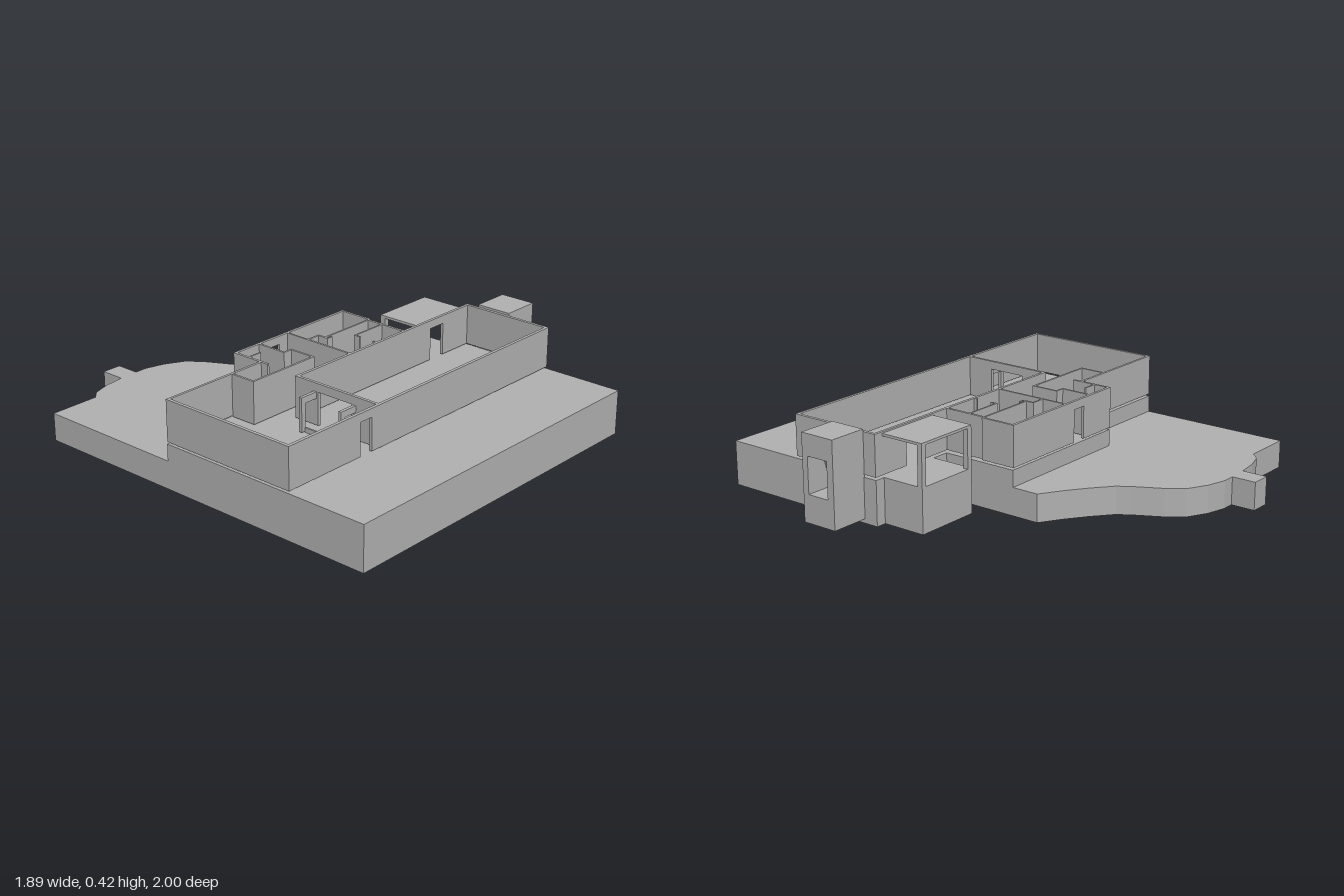
import * as THREE from 'three';

export function createModel() {
  const model = new THREE.Group();
  model.name = 'housePlan';
  const stone = new THREE.MeshStandardMaterial({ color: 0xb0b0b0 });
  stone.name = 'plainGrey';

  const add = (name, geometry, parent = model) => {
    const mesh = new THREE.Mesh(geometry, stone);
    mesh.name = name;
    parent.add(mesh);
    return mesh;
  };
  // Box given by its limits on each axis
  const box = (name, x0, x1, y0, y1, z0, z1, parent) =>
    add(name, new THREE.BoxGeometry(x1 - x0, y1 - y0, z1 - z0)
      .translate((x0 + x1) / 2, (y0 + y1) / 2, (z0 + z1) / 2), parent);
  // Level slab from a plan outline of [x, z] points
  const slab = (name, outline, height) => {
    const shape = new THREE.Shape(outline.map(([x, z]) => new THREE.Vector2(x, -z)));
    const g = new THREE.ExtrudeGeometry(shape, { depth: height, bevelEnabled: false });
    return add(name, g.rotateX(-Math.PI / 2));
  };

  // Raised ground under the house
  slab('upperTerrace', [
    [-0.95, 1], [0.76, 1], [0.76, 0.15], [0.305, 0.15], [0.305, -0.22],
    [-0.405, -0.22], [-0.405, -0.07], [-0.95, -0.07],
  ], 0.208);

  // Lower garden with a curved edge
  slab('lowerTerrace', [
    [-0.95, -0.07], [-0.405, -0.07], [-0.405, -0.22], [0.305, -0.22],
    [0.305, -0.35], [0.2, -0.415], [0.11, -0.48], [0.02, -0.555],
    [-0.02, -0.615], [-0.085, -0.735], [-0.14, -0.81], [-0.235, -0.86],
    [-0.33, -0.885], [-0.39, -0.885], [-0.39, -1], [-0.485, -1],
    [-0.485, -0.88], [-0.585, -0.867], [-0.67, -0.84], [-0.71, -0.8], [-0.95, -0.8],
  ], 0.13);

  // Walls: [x0, x1, z0, z1], optional doorway [start, end] along the long axis
  const bottom = 0.218, top = 0.409, doorTop = 0.37;
  const walls = (name, list, y0 = bottom) => {
    const group = new THREE.Group();
    group.name = name;
    model.add(group);
    for (const [x0, x1, z0, z1, door] of list) {
      if (!door) {
        box('wall', x0, x1, y0, top, z0, z1, group);
        continue;
      }
      const [a, b] = door;
      const alongX = x1 - x0 > z1 - z0;
      const piece = (part, s, e, low) => alongX
        ? box(part, s, e, low, top, z0, z1, group)
        : box(part, x0, x1, low, top, s, e, group);
      piece('wall', alongX ? x0 : z0, a, y0);
      piece('wall', b, alongX ? x1 : z1, y0);
      piece('lintel', a, b, doorTop);
    }
  };

  walls('outerWalls', [
    [-0.95, 0.757, 0.602, 0.617, [-0.53, -0.46]],
    [-0.95, -0.935, -0.068, 0.602],
    [-0.935, -0.405, -0.068, -0.056],
    [0.742, 0.757, 0.155, 0.602],
    [-0.418, 0.742, 0.155, 0.169, [0.47, 0.56]],
    [-0.418, -0.404, 0.169, 0.602, [0.285, 0.47]],
    [-0.405, 0.305, -0.222, -0.209, [-0.2, -0.13]],
    [-0.405, -0.393, -0.209, -0.02],
    [0.293, 0.305, -0.209, -0.05],
    [0.283, 0.295, -0.05, 0.155],
  ]);

  walls('roomWalls', [
    [-0.582, -0.572, -0.056, 0.07],
    [-0.572, -0.205, 0.06, 0.07],
    [-0.215, -0.205, -0.068, 0.06],
    [-0.26, -0.215, -0.068, -0.058],
    [-0.26, -0.25, -0.209, -0.068],
    [-0.08, -0.07, -0.209, 0.155],
    [-0.07, 0, -0.093, -0.084],
    [-0.01, 0, -0.084, -0.03],
    [0, 0.293, -0.055, -0.046],
    [0, 0.022, -0.037, -0.03],
    [0.1, 0.283, 0.028, 0.036],
    [0.1, 0.108, 0.036, 0.062],
    [0.1, 0.108, 0.138, 0.155],
    [-0.393, -0.325, -0.142, -0.134],
  ], 0.213);

  // Small surround beside the hall doorway
  for (const [z0, z1] of [[0.26, 0.275], [0.478, 0.493]]) {
    box('surroundPost', -0.508, -0.485, 0.213, doorTop, z0, z1);
    box('surroundBeam', -0.485, -0.418, 0.34, doorTop, z0, z1);
  }
  box('doorSill', -0.488, -0.48, 0.208, 0.23, 0.275, 0.478);

  // Covered porch at the back of the hall
  box('porchBase', 0.39, 0.71, 0, 0.208, -0.062, 0.155);
  box('porchRoof', 0.39, 0.71, 0.39, 0.402, -0.062, 0.155);
  for (const x of [0.39, 0.685]) box('porchPost', x, x + 0.025, 0.208, 0.39, -0.062, -0.037);

  // Hearth tower with a curved niche facing outward
  const tower = new THREE.Group();
  tower.name = 'hearthTower';
  model.add(tower);
  box('towerSide', 0.757, 0.943, 0.02, 0.42, 0.22, 0.255, tower);
  box('towerSide', 0.757, 0.943, 0.02, 0.42, 0.365, 0.395, tower);
  const profile = new THREE.Shape();
  profile.moveTo(0.757, 0.02);
  profile.lineTo(0.943, 0.02);
  profile.lineTo(0.943, 0.15);
  profile.lineTo(0.83, 0.15);
  profile.lineTo(0.83, 0.2);
  profile.quadraticCurveTo(0.83, 0.32, 0.943, 0.32);
  profile.lineTo(0.943, 0.42);
  profile.lineTo(0.757, 0.42);
  const core = new THREE.ExtrudeGeometry(profile, { depth: 0.11, bevelEnabled: false, curveSegments: 6 });
  add('towerNiche', core.translate(0, 0, 0.255), tower);

  return model;
}
